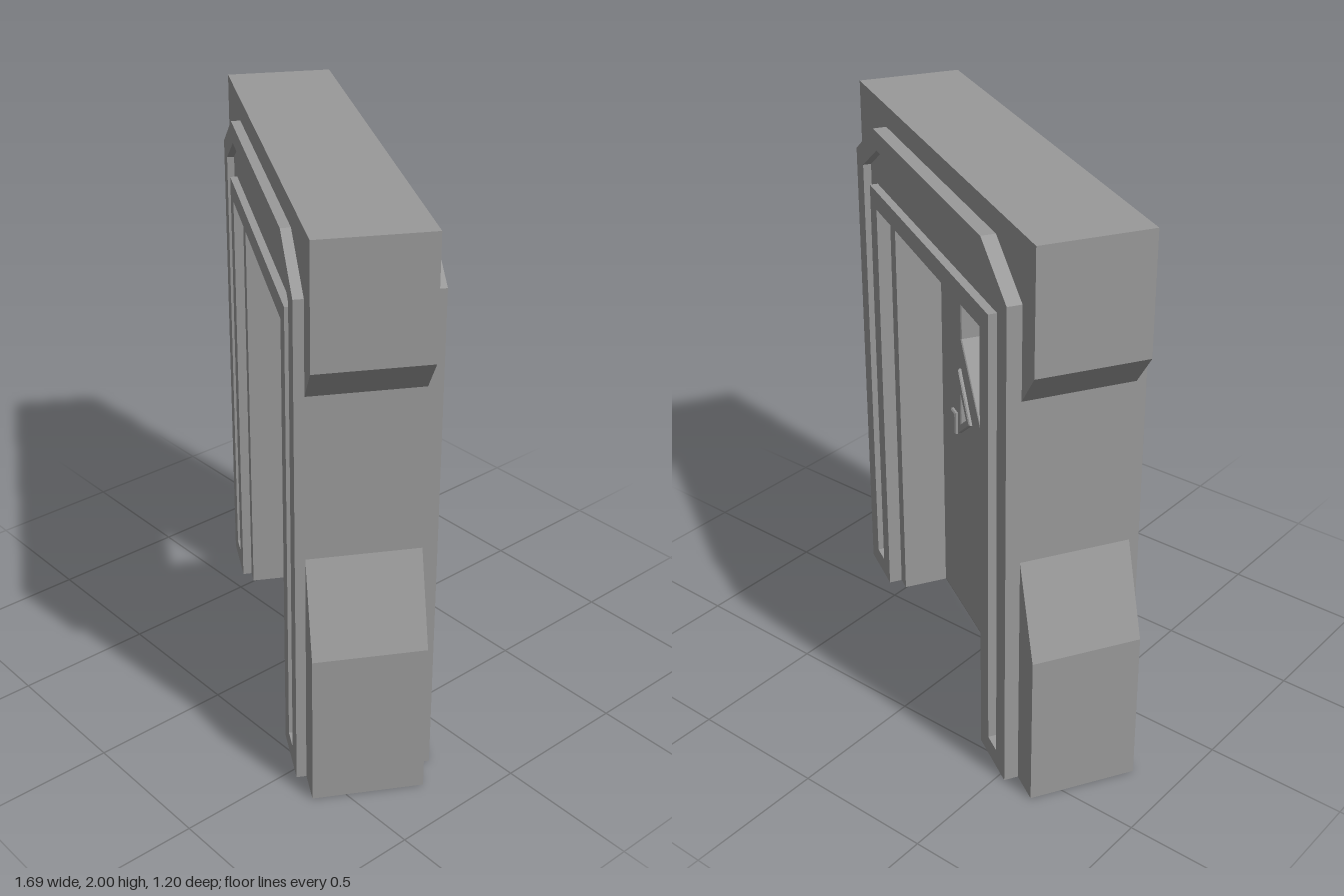
import * as THREE from 'three';

const material = new THREE.MeshStandardMaterial({ color: 0x9a9a9a, flatShading: true });
const vectors = (points) => points.map(([x, y]) => new THREE.Vector2(x, y));

// Full outline from its right half, mirrored across x = 0
const mirrored = (half) => [...half, ...half.map(([x, y]) => [-x, y]).reverse()];

// Moves every edge of a counter-clockwise convex outline inward by d
function inset(points, d) {
  const n = points.length;
  const edges = points.map(([x, y], i) => {
    const [x2, y2] = points[(i + 1) % n];
    const len = Math.hypot(x2 - x, y2 - y);
    const nx = -(y2 - y) / len, ny = (x2 - x) / len;
    return { nx, ny, c: nx * x + ny * y + d };
  });
  return edges.map((b, i) => {
    const a = edges[(i + n - 1) % n];
    const det = a.nx * b.ny - a.ny * b.nx;
    return [(a.c * b.ny - b.c * a.ny) / det, (a.nx * b.c - b.nx * a.c) / det];
  });
}

// Plate with holes between depths z0 and z1, optionally chamfered on both faces
function plate(name, outline, holes, z0, z1, bevel = 0, bevelDepth = bevel) {
  const shape = new THREE.Shape(vectors(outline));
  holes.forEach((h) => shape.holes.push(new THREE.Path(vectors(h))));
  const geometry = new THREE.ExtrudeGeometry(shape, {
    depth: z1 - z0 - 2 * bevelDepth,
    bevelEnabled: bevel > 0,
    bevelSize: bevel,
    bevelOffset: -bevel,
    bevelThickness: bevelDepth,
    bevelSegments: 1,
  });
  geometry.translate(0, 0, z0 + bevelDepth);
  const mesh = new THREE.Mesh(geometry, material);
  mesh.name = name;
  return mesh;
}

export function createModel() {
  const model = new THREE.Group();
  model.name = 'doorway';

  // Thick wall with a flared foot and head around the opening
  const wall = mirrored([
    [0.47, 1.62], [0.47, 0], [0.866, 0], [0.866, 0.56], [0.75, 0.88],
    [0.75, 1.46], [0.846, 1.58], [0.846, 2],
  ]);
  model.add(plate('wall', wall, [], -0.19, 0.192));

  // Raised surround with a sunken channel, deeper on the back face
  const surround = mirrored([[0.525, 1.62], [0.525, 0], [0.75, 0], [0.75, 1.78], [0.535, 1.92]]);
  const channel = mirrored([[0.597, 1.69], [0.597, 0.07], [0.673, 0.07], [0.673, 1.74], [0.5, 1.85]]);
  model.add(plate('frontSurround', surround, [channel], 0.19, 0.226));
  model.add(plate('frontChannelFloor', channel, [], 0.19, 0.2));
  model.add(plate('backSurround', surround, [channel], -0.24, -0.19));
  model.add(plate('backChannelFloor', channel, [], -0.21, -0.19));

  // Door leaf with a chamfered edge and two windows
  const windows = {
    largeWindow: [[-0.226, 0.567], [0.24, 1.2], [0.24, 1.495], [-0.226, 1.495]],
    smallWindow: [[0.125, 0.895], [0.24, 0.805], [0.24, 1.075]],
  };
  const leaf = [[-0.47, 0], [0.47, 0], [0.47, 1.62], [-0.47, 1.62]];
  const holes = Object.values(windows).map((w) => inset(w, 0.024));
  model.add(plate('doorLeaf', leaf, holes, -0.025, 0.027, 0.022, 0.008));

  // Window rims standing proud of the leaf
  for (const [name, outline] of Object.entries(windows)) {
    const width = name === 'largeWindow' ? 0.036 : 0.027;
    model.add(plate(name + 'Rim', outline, [inset(outline, width)], -0.038, 0.042, 0.004));
  }

  // Handle plate, showing on both sides
  const handle = [[0.28, 0.78], [0.328, 0.78], [0.328, 0.87], [0.28, 0.87]];
  model.add(plate('handle', handle, [], -0.038, 0.04, 0.005));

  model.rotation.y = -Math.PI / 6;
  const root = new THREE.Group();
  root.add(model);
  return root;
}
